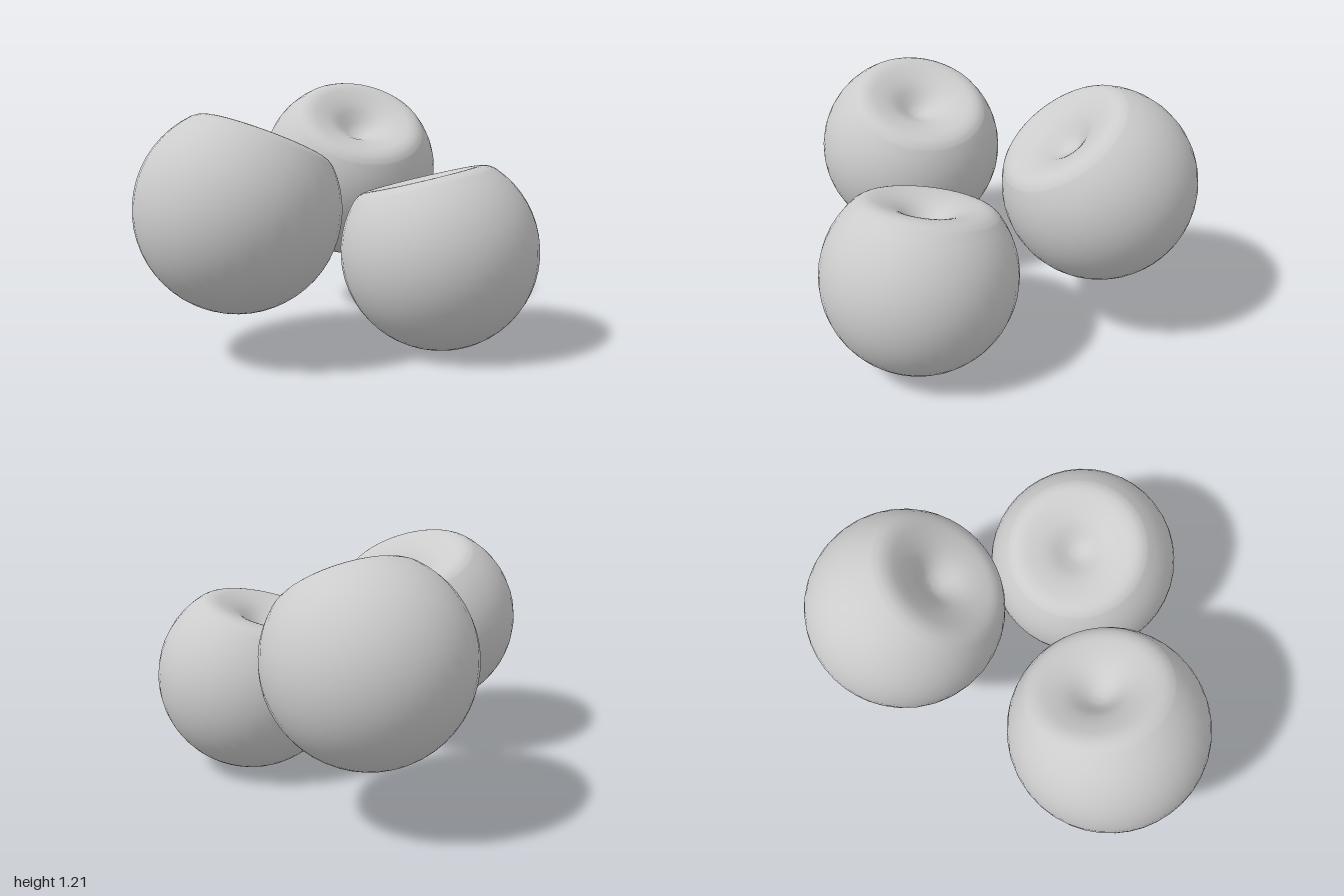
import * as THREE from 'three';

const RADIUS = 0.46;

// Half outline of one fruit: round body, soft rim, funnel-shaped dimple
function fruitProfile() {
  const points = [];
  const rimAngle = Math.PI - Math.asin(0.335 / RADIUS);
  const steps = 20;
  for (let i = 0; i <= steps; i++) {
    const a = (i / steps) * rimAngle;
    points.push(new THREE.Vector2(RADIUS * Math.sin(a), -RADIUS * Math.cos(a)));
  }
  const dimple = new THREE.SplineCurve([
    [0.335, 0.315], [0.305, 0.336], [0.268, 0.344], [0.23, 0.34], [0.18, 0.327],
    [0.13, 0.306], [0.08, 0.272], [0.04, 0.248], [0, 0.24],
  ].map(([r, h]) => new THREE.Vector2(r, h)));
  points.push(...dimple.getPoints(20).slice(1));
  points[0].x = 0;
  points[points.length - 1].x = 0;
  return points;
}

export function createModel() {
  const group = new THREE.Group();
  group.name = 'fruitCluster';
  const geometry = new THREE.LatheGeometry(fruitProfile(), 40);
  const material = new THREE.MeshStandardMaterial({ color: 0xcccccc });
  const up = new THREE.Vector3(0, 1, 0);

  // Each dimple leans towards the middle of the cluster
  const fruits = [
    { name: 'frontFruit', at: [-0.385, 0.68, 0.54], axis: [0.22, 0.92, -0.33] },
    { name: 'leftFruit', at: [0.383, 0.46, 0.03], axis: [-0.25, 0.97, 0] },
    { name: 'backFruit', at: [-0.327, 0.755, -0.54], axis: [0.4, 0.81, 0.43] },
  ];
  for (const { name, at, axis } of fruits) {
    const fruit = new THREE.Mesh(geometry, material);
    fruit.name = name;
    fruit.position.set(...at);
    fruit.quaternion.setFromUnitVectors(up, new THREE.Vector3(...axis).normalize());
    group.add(fruit);
  }
  return group;
}
